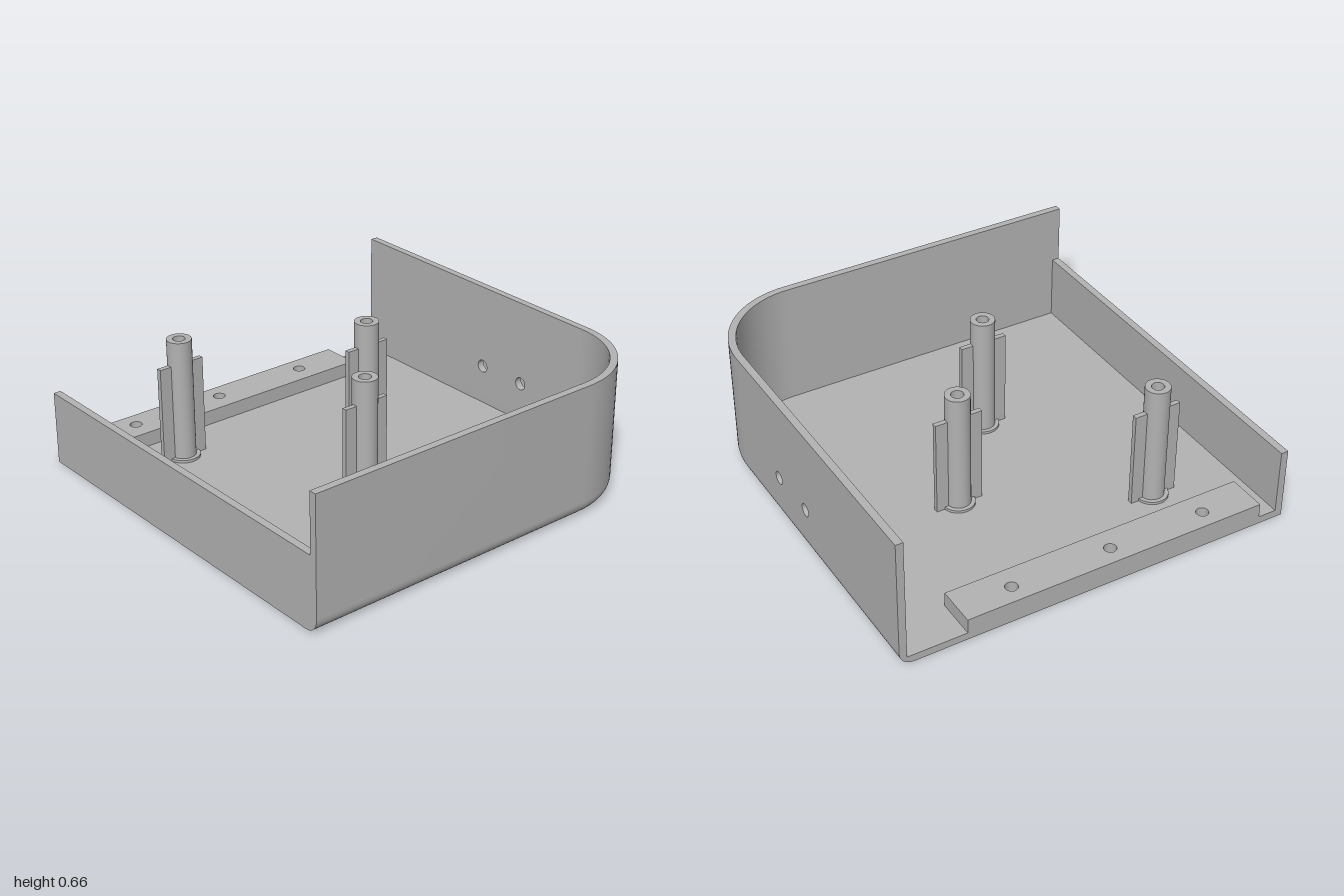
import * as THREE from 'three';
import { toCreasedNormals } from 'three/addons/utils/BufferGeometryUtils.js';

const X = 0.99, Z = 1, H = 0.66, WALL = 0.037, FLOOR = 0.037;
const CORNER = 0.45, ROUND = 0.07, FRONT_H = 0.365;

// Outline of the rounded back right corner, with outward normals
function cornerOutline() {
  const out = [];
  for (let i = 0; i <= 24; i++) {
    const a = (i / 24) * Math.PI / 2, nx = Math.cos(a), nz = -Math.sin(a);
    out.push({ x: X - CORNER + CORNER * nx, z: -Z + CORNER + CORNER * nz, nx, nz });
  }
  return out;
}

// Sweep a closed [inset, height] profile along an outline and cap both ends
function sweep(path, profile) {
  const n = profile.length, pos = [], idx = [];
  for (const p of path)
    for (const [d, y] of profile) pos.push(p.x - p.nx * d, y, p.z - p.nz * d);
  for (let i = 0; i < path.length - 1; i++)
    for (let j = 0; j < n; j++) {
      const k = (j + 1) % n, a = i * n, b = a + n;
      idx.push(a + j, b + j, b + k, a + j, b + k, a + k);
    }
  const last = (path.length - 1) * n;
  const contour = profile.map(([d, y]) => new THREE.Vector2(-d, y));
  for (const [a, b, c] of THREE.ShapeUtils.triangulateShape(contour, []))
    idx.push(a, b, c, last + a, last + c, last + b);
  const g = new THREE.BufferGeometry();
  g.setAttribute('position', new THREE.Float32BufferAttribute(pos, 3));
  g.setIndex(idx);
  return toCreasedNormals(g, 0.5);
}

// Rectangle with round holes, extruded along +z
function drilledPlate(x0, y0, x1, y1, depth, holes, r) {
  const s = new THREE.Shape();
  s.moveTo(x0, y0).lineTo(x1, y0).lineTo(x1, y1).lineTo(x0, y1).closePath();
  for (const [x, y] of holes) s.holes.push(new THREE.Path().absarc(x, y, r, 0, Math.PI * 2, true));
  const g = new THREE.ExtrudeGeometry(s, { depth, bevelEnabled: false, curveSegments: 16 });
  return toCreasedNormals(g, 0.6);
}

export function createModel() {
  const group = new THREE.Group();
  const grey = new THREE.MeshStandardMaterial({ color: 0xb2b2b2, side: THREE.DoubleSide });
  grey.name = 'grey';
  const add = (name, geometry, x = 0, y = 0, z = 0, parent = group) => {
    const m = new THREE.Mesh(geometry, grey);
    m.name = name;
    m.position.set(x, y, z);
    parent.add(m);
    return m;
  };

  const corner = cornerOutline();
  const sideAndCorner = [{ x: X, z: Z, nx: 1, nz: 0 }, ...corner];
  const whole = [...sideAndCorner, { x: -X, z: -Z, nx: 0, nz: -1 }];

  // Rounded bottom edge along the right and back
  const edge = [];
  for (let i = 0; i <= 10; i++) {
    const a = (i / 10) * Math.PI / 2;
    edge.push([ROUND - ROUND * Math.sin(a), ROUND - ROUND * Math.cos(a)]);
  }
  edge.push([WALL, ROUND], [WALL, FLOOR], [ROUND, FLOOR]);
  add('roundedBottomEdge', sweep(whole, edge));

  // Right wall with the large curved corner
  add('rightWall', sweep(sideAndCorner, [[0, ROUND], [0, H], [WALL, H], [WALL, ROUND]]));

  // Back wall with two screw holes
  add('backWall', drilledPlate(-X, ROUND, X - CORNER, H, WALL,
    [[-0.12, 0.235], [0.15, 0.235]], 0.032), 0, 0, -Z);

  // Low front wall
  const frontWidth = 2 * X - WALL;
  add('frontWall', new THREE.BoxGeometry(frontWidth, FRONT_H - FLOOR, WALL),
    -WALL / 2, (FRONT_H + FLOOR) / 2, Z - WALL / 2);

  // Floor plate inside the rounded edge
  const floor = new THREE.Shape();
  floor.moveTo(-X, -Z);
  for (const p of whole) floor.lineTo(p.x - p.nx * ROUND, -(p.z - p.nz * ROUND));
  floor.closePath();
  const floorGeometry = new THREE.ExtrudeGeometry(floor, { depth: FLOOR, bevelEnabled: false });
  floorGeometry.rotateX(-Math.PI / 2);
  add('floor', floorGeometry);

  // Mounting bar along the open left side
  const bar = drilledPlate(-X, -0.87, -0.79, 0.67, 0.073,
    [[-0.9, 0.4], [-0.9, -0.11], [-0.9, -0.61]], 0.03);
  bar.rotateX(-Math.PI / 2);
  add('mountingBar', bar, 0, FLOOR, 0);

  // Screw posts with a base collar, a blind hole and two ribs
  const profile = [[0.08, FLOOR], [0.08, 0.05], [0.06, 0.05], [0.06, 0.65],
    [0.03, 0.65], [0.03, 0.35], [0, 0.35]].map(([r, y]) => new THREE.Vector2(r, y));
  const postGeometry = toCreasedNormals(new THREE.LatheGeometry(profile, 32), 0.6);
  const ribTop = 0.525;
  const ribGeometry = new THREE.BoxGeometry(0.025, ribTop - FLOOR, 0.07);
  for (const [x, z] of [[-0.2, -0.265], [0.27, 0.14], [-0.6, 0.54]]) {
    const post = new THREE.Group();
    post.name = 'screwPost';
    post.position.set(x, 0, z);
    add('post', postGeometry, 0, 0, 0, post);
    for (const side of [-1, 1])
      add('rib', ribGeometry, 0, (ribTop + FLOOR) / 2, side * 0.085, post);
    group.add(post);
  }
  return group;
}
